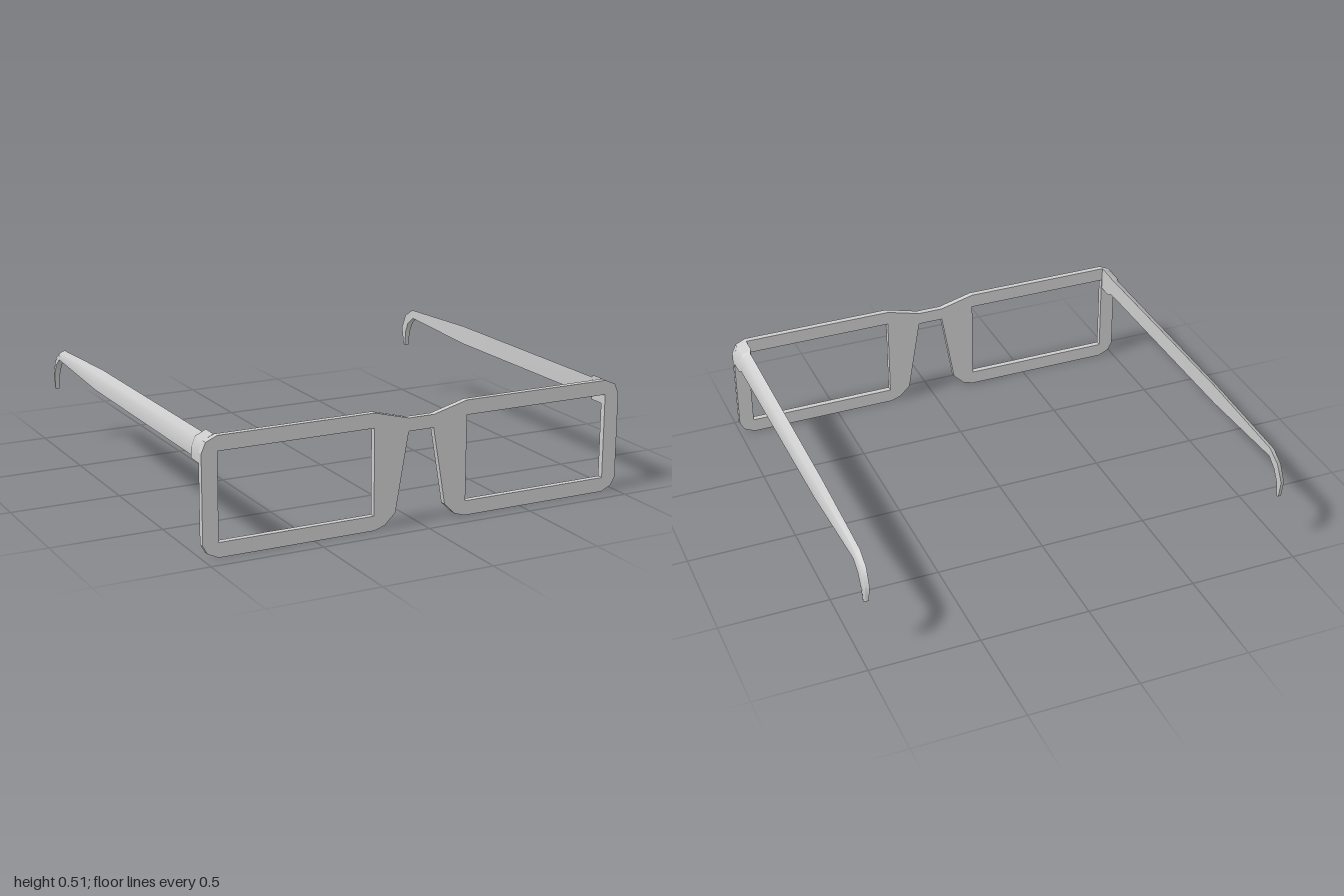
import * as THREE from 'three';
import { toCreasedNormals } from 'three/addons/utils/BufferGeometryUtils.js';

const material = new THREE.MeshStandardMaterial({ color: 0xcccccc });

// Front frame: mirrored half outline with two rectangular lens openings
function makeFrame() {
  const half = [
    [0.06, 0.47], [0.22, 0.512], [0.93, 0.512], [0.98, 0.49], [1, 0.445],
    [1, 0.06], [0.98, 0.023], [0.93, 0], [0.22, 0], [0.17, 0.016], [0.12, 0.065], [0.06, 0.412],
  ];
  const outline = [...half.map(([x, y]) => [-x, y]), ...half.slice().reverse()];
  const shape = new THREE.Shape(outline.map(([x, y]) => new THREE.Vector2(x, y)));
  // Both openings run clockwise, against the outline
  for (const [x0, x1] of [[0.222, 0.93], [-0.93, -0.222]]) {
    const hole = [[x0, 0.065], [x0, 0.447], [x1, 0.447], [x1, 0.065]];
    shape.holes.push(new THREE.Path(hole.map(([x, y]) => new THREE.Vector2(x, y))));
  }
  const geometry = new THREE.ExtrudeGeometry(shape, { depth: 0.028, bevelEnabled: false });
  geometry.translate(0, 0, 0.892);
  return geometry;
}

// Cross-section: flat inside and bottom, rounded on the outer top; [across, up]
const SECTION = [[0, 0], [1, 0], [1, 0.4], [0.7, 0.8], [0, 1]];

// Hinge block, step, straight arm, taper, then the hooked ear tip
// [bottom z, bottom y, top z, top y, inner x, outer x]
const STATIONS = [
  [0.892, 0.4, 0.892, 0.512, 0.933, 1],
  [0.815, 0.4, 0.815, 0.512, 0.933, 0.998],
  [0.8, 0.409, 0.8, 0.498, 0.941, 0.992],
  [-0.3, 0.409, -0.3, 0.498, 0.946, 0.985],
  [-0.805, 0.435, -0.81, 0.477, 0.948, 0.978],
  [-0.855, 0.398, -0.88, 0.437, 0.948, 0.977],
  [-0.883, 0.343, -0.921, 0.363, 0.95, 0.976],
  [-0.889, 0.273, -0.905, 0.28, 0.952, 0.972],
];

// Loft one arm through the stations; its front end is closed by the frame
function makeTemple(side) {
  const rings = STATIONS.map(([bz, by, tz, ty, xi, xo]) => {
    const ring = SECTION.map(([u, v]) => [
      side * THREE.MathUtils.lerp(xi, xo, u),
      THREE.MathUtils.lerp(by, ty, v),
      THREE.MathUtils.lerp(bz, tz, v),
    ]);
    return side < 0 ? ring.reverse() : ring;
  });
  const n = SECTION.length;
  const pos = [];
  const tri = (a, b, c) => pos.push(...a, ...b, ...c);
  for (let k = 0; k < rings.length - 1; k++) {
    const a = rings[k], b = rings[k + 1];
    for (let i = 0; i < n; i++) {
      const j = (i + 1) % n;
      tri(a[i], b[i], b[j]);
      tri(a[i], b[j], a[j]);
    }
  }
  // Tip cap
  const tip = rings[rings.length - 1];
  for (let i = 1; i < n - 1; i++) tri(tip[0], tip[i + 1], tip[i]);
  const geometry = new THREE.BufferGeometry();
  geometry.setAttribute('position', new THREE.Float32BufferAttribute(pos, 3));
  return toCreasedNormals(geometry, 0.8);
}

export function createModel() {
  const model = new THREE.Group();
  model.name = 'glasses';
  const add = (geometry, name) => {
    const mesh = new THREE.Mesh(geometry, material);
    mesh.name = name;
    model.add(mesh);
  };
  add(makeFrame(), 'frontFrame');
  add(makeTemple(1), 'leftTemple');
  add(makeTemple(-1), 'rightTemple');
  return model;
}
